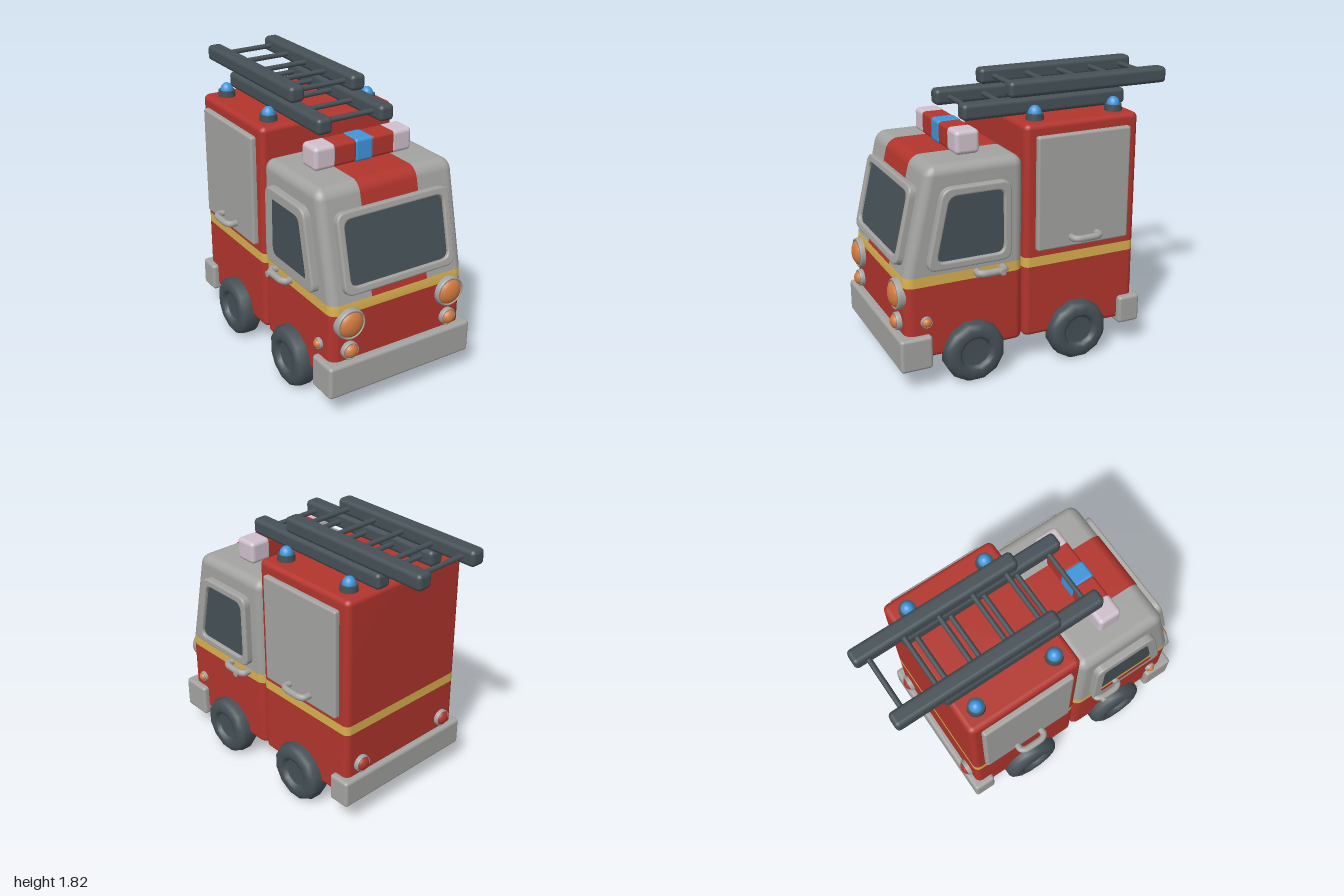
import * as THREE from 'three';
import { RoundedBoxGeometry } from 'three/addons/geometries/RoundedBoxGeometry.js';

const paint = (name, color) => Object.assign(new THREE.MeshStandardMaterial({ color }), { name });

export function createModel() {
  const red = paint('red', 0xb2352d), grey = paint('grey', 0xa3a3a1), yellow = paint('yellow', 0xd8b04e);
  const dark = paint('dark', 0x455056), orange = paint('orange', 0xd27b40);
  const blue = paint('blue', 0x3f95dc), lilac = paint('lilac', 0xcfc0cc);
  const model = new THREE.Group();
  model.name = 'fireEngine';

  const add = (name, geo, mat, x = 0, y = 0, z = 0, parent = model) => {
    const mesh = new THREE.Mesh(geo, mat);
    mesh.name = name;
    mesh.position.set(x, y, z);
    parent.add(mesh);
    return mesh;
  };
  const group = (name, x = 0, y = 0, z = 0) => {
    const g = new THREE.Group();
    g.name = name;
    g.position.set(x, y, z);
    model.add(g);
    return g;
  };
  const rbox = (w, h, d, r) => new RoundedBoxGeometry(w, h, d, 3, r);

  // Rounded hull stacked from rounded-rectangle rings; bands below, on and above the belt line get groups
  const hull = (name, halfW, zBack, zFront, top, corner, edge, upperMat) => {
    const bottom = 0.2, steps = 5, levels = [];
    for (let i = 0; i <= steps; i++) {
      const a = (i / steps) * Math.PI / 2;
      levels.push([bottom + 0.03 * (1 - Math.sin(a)), 0.03 * (1 - Math.cos(a))]);
    }
    levels.reverse();
    levels.push([0.68, 0], [0.745, 0]);
    for (let i = 0; i <= steps; i++) {
      const a = (i / steps) * Math.PI / 2;
      levels.push([top - edge + edge * Math.sin(a), edge * (1 - Math.cos(a))]);
    }
    const pos = [], index = [], n = 4 * (steps + 1);
    for (const [y, inset] of levels) {
      const w = halfW - inset, z0 = zBack + inset, z1 = zFront(y) - inset, r = Math.max(corner - inset, 0.01);
      for (let q = 0; q < 4; q++) for (let k = 0; k <= steps; k++) {
        const t = (q + k / steps) * Math.PI / 2;
        const cx = q === 0 || q === 3 ? w - r : r - w, cz = q < 2 ? z1 - r : z0 + r;
        pos.push(cx + r * Math.cos(t), y, cz + r * Math.sin(t));
      }
    }
    const last = levels.length - 1, mid = (zBack + zFront(top)) / 2;
    pos.push(0, bottom, mid, 0, top, mid);
    const lowC = (last + 1) * n, topC = lowC + 1;
    for (let i = 0; i < n; i++) index.push(lowC, i, (i + 1) % n);
    const cuts = [];
    for (let j = 0; j < last; j++) {
      if (levels[j][0] === 0.68 || levels[j][0] === 0.745) cuts.push(index.length);
      for (let i = 0; i < n; i++) {
        const a = j * n + i, b = j * n + (i + 1) % n;
        index.push(a, a + n, b, b, a + n, b + n);
      }
    }
    for (let i = 0; i < n; i++) index.push(topC, last * n + (i + 1) % n, last * n + i);
    const geo = new THREE.BufferGeometry();
    geo.setAttribute('position', new THREE.Float32BufferAttribute(pos, 3));
    geo.setIndex(index);
    geo.computeVertexNormals();
    geo.addGroup(0, cuts[0], 0);
    geo.addGroup(cuts[0], cuts[1] - cuts[0], 1);
    geo.addGroup(cuts[1], index.length - cuts[1], 2);
    add(name, geo, [red, yellow, upperMat]);
  };
  const slope = 0.235;
  const cabFront = y => 0.935 - slope * Math.max(0, y - 0.72);
  hull('cab', 0.49, 0.143, cabFront, 1.425, 0.06, 0.065, grey);
  hull('rearBody', 0.49, -0.66, () => 0.137, 1.605, 0.04, 0.035, red);

  // Red stripe running up the nose and over the cab roof
  const path = [];
  for (let i = 0; i <= 6; i++) {
    const a = (i / 6) * Math.PI / 2;
    path.push([1.36 + 0.069 * Math.sin(a), 0.208 - 0.069 * Math.cos(a)]);
  }
  for (let i = 6; i >= 0; i--) {
    const a = (i / 6) * Math.PI / 2, y = 1.36 + 0.065 * Math.sin(a);
    path.push([y + 0.004 * Math.sin(a), cabFront(y) - 0.065 * (1 - Math.cos(a)) + 0.004]);
  }
  path.push([0.745, cabFront(0.745) + 0.004]);
  const stripe = new THREE.PlaneGeometry(0.41, 1, 1, path.length - 1);
  const sp = stripe.attributes.position;
  for (let i = 0; i < sp.count; i++) {
    const [y, z] = path[i >> 1];
    sp.setXYZ(i, sp.getX(i), y, z);
  }
  stripe.computeVertexNormals();
  add('cabStripe', stripe, red);

  // Windows: bevelled frame with recessed glass
  const roundPoly = (pts, r, Type = THREE.Shape) => {
    const s = new Type(), v = pts.map(p => new THREE.Vector2(...p)), n = v.length;
    v.forEach((p, i) => {
      const toward = q => p.clone().add(q.clone().sub(p).setLength(r));
      const a = toward(v[(i + n - 1) % n]), b = toward(v[(i + 1) % n]);
      i ? s.lineTo(a.x, a.y) : s.moveTo(a.x, a.y);
      s.quadraticCurveTo(p.x, p.y, b.x, b.y);
    });
    s.closePath();
    return s;
  };
  const windowPane = (name, outer, inner, depth, parent) => {
    const bevel = 0.012, frame = roundPoly(outer, 0.065);
    frame.holes.push(roundPoly(inner, 0.055, THREE.Path));
    add(name + 'Frame', new THREE.ExtrudeGeometry(frame, {
      depth: depth - bevel, bevelThickness: bevel, bevelSize: bevel, bevelOffset: -bevel, bevelSegments: 3, curveSegments: 6,
    }), grey, 0, 0, 0, parent);
    add(name + 'Glass', new THREE.ShapeGeometry(roundPoly(inner, 0.055), 6), dark, 0, 0, depth * 0.55, parent);
  };
  const rect = (w, h) => [[-w, -h], [w, -h], [w, h], [-w, h]];
  const screen = group('windscreen', 0, 1.04, cabFront(1.04) - 0.003);
  screen.rotation.x = -Math.atan(slope);
  windowPane('windscreen', rect(0.405, 0.252), rect(0.358, 0.203), 0.048, screen);

  // Round lamp facing +z
  const lamp = (name, r, h, mat, x, y, z, turn = 0) => {
    const g = group(name, x, y, z);
    g.rotation.y = turn;
    const profile = [[r, -0.02], [r, h * 0.35], [r * 0.96, h * 0.55], [r * 0.86, h * 0.6], [r * 0.84, 0]];
    const bezel = new THREE.LatheGeometry(profile.map(p => new THREE.Vector2(...p)), 28);
    add(name + 'Bezel', bezel.rotateX(Math.PI / 2), grey, 0, 0, 0, g);
    const dome = new THREE.SphereGeometry(r * 0.87, 24, 8, 0, Math.PI * 2, 0, Math.PI / 2).rotateX(Math.PI / 2);
    add(name + 'Lens', dome, mat, 0, 0, h * 0.3, g).scale.z = h * 0.7 / (r * 0.87);
  };

  // Wheel profile: faceted tyre with a sunken hub, axle along x
  const wheelProfile = [[0, 0.045], [0.09, 0.045], [0.1, 0.05], [0.105, 0.07], [0.125, 0.076], [0.16, 0.076],
    [0.19, 0.06], [0.203, 0.035], [0.203, -0.035], [0.19, -0.06], [0.16, -0.076], [0, -0.076]];
  const wheelGeo = new THREE.LatheGeometry(wheelProfile.reverse().map(p => new THREE.Vector2(...p)), 12);
  wheelGeo.rotateY(Math.PI / 12).rotateZ(-Math.PI / 2);

  // Grab handle: tube with bent ends
  const handle = (name, s, x, y, z0, z1, out, r) => {
    const pts = [[x, z0], [x + out * 0.7, z0], [x + out, z0 - 0.035], [x + out, z1 + 0.035], [x + out * 0.7, z1], [x, z1]];
    const curve = new THREE.CatmullRomCurve3(pts.map(([px, pz]) => new THREE.Vector3(s * px, y, pz)), false, 'catmullrom', 0.3);
    add(name, new THREE.TubeGeometry(curve, 32, r, 10), grey);
  };

  for (const s of [1, -1]) {
    const side = s > 0 ? 'left' : 'right';
    // Door window
    const door = group(side + 'DoorWindow', s * 0.485, 0, 0);
    door.rotation.y = s * Math.PI / 2;
    const zy = pts => pts.map(([z, y]) => [-s * z, y]);
    windowPane(side + 'Door', zy([[0.805, 0.785], [0.245, 0.785], [0.245, 1.295], [0.69, 1.295]]),
      zy([[0.74, 0.835], [0.293, 0.835], [0.293, 1.243], [0.648, 1.243]]), 0.053, door);
    // Locker shutter and handles
    add(side + 'Shutter', rbox(0.07, 0.74, 0.65, 0.015), grey, s * 0.49, 1.16, -0.262);
    handle(side + 'ShutterHandle', s, 0.515, 0.857, -0.172, -0.355, 0.068, 0.022);
    handle(side + 'DoorHandle', s, 0.485, 0.722, 0.467, 0.293, 0.06, 0.023);
    const knob = new THREE.CylinderGeometry(0.02, 0.02, 0.05, 14).rotateZ(Math.PI / 2);
    add(side + 'DoorLock', knob, grey, s * 0.555, 0.722, 0.325);
    // Lamps
    lamp(side + 'Headlight', 0.1, 0.07, orange, s * 0.37, 0.617, 0.93);
    lamp(side + 'FogLight', 0.057, 0.065, orange, s * 0.37, 0.435, 0.93);
    lamp(side + 'SideMarker', 0.036, 0.045, orange, s * 0.487, 0.45, 0.805, s * Math.PI / 2);
    lamp(side + 'TailLight', 0.057, 0.055, red, s * 0.37, 0.435, -0.657, Math.PI);
    // Wheels
    for (const [end, z] of [['Front', 0.5], ['Rear', -0.23]]) {
      const wheel = add(side + end + 'Wheel', wheelGeo, dark, s * 0.493, 0.2, z);
      if (s < 0) wheel.rotation.y = Math.PI;
    }
    // Roof beacons
    for (const z of [0.015, -0.54]) {
      add(side + 'BeaconBase', new THREE.CylinderGeometry(0.054, 0.058, 0.05, 20), dark, s * 0.37, 1.62, z);
      const dome = new THREE.SphereGeometry(0.043, 20, 8, 0, Math.PI * 2, 0, Math.PI / 2);
      add(side + 'Beacon', dome, blue, s * 0.37, 1.64, z).scale.y = 1.25;
    }
    // Light bar ends
    add(side + 'LightBarEnd', rbox(0.155, 0.15, 0.16, 0.028), lilac, s * 0.275, 1.503, 0.453);
    add(side + 'LightBarRed', rbox(0.2, 0.144, 0.154, 0.022), red, s * 0.15, 1.503, 0.453);
  }
  add('lightBarCentre', rbox(0.135, 0.15, 0.16, 0.022), blue, 0, 1.503, 0.453);

  // Bumpers
  add('frontBumper', rbox(1.06, 0.22, 0.21, 0.022), grey, 0, 0.255, 0.88);
  add('rearBumper', rbox(1.06, 0.19, 0.155, 0.022), grey, 0, 0.265, -0.622);

  // Two-stage ladder
  const ladder = (name, y, z0, z1, firstRung) => {
    const g = group(name, 0, y, 0);
    for (const s of [1, -1]) add('ladderRail', rbox(0.106, 0.105, z0 - z1, 0.028), dark, s * 0.225, 0, (z0 + z1) / 2, g);
    for (let i = 0; i < 5; i++) {
      const rung = new THREE.CylinderGeometry(0.017, 0.017, 0.4, 10).rotateZ(Math.PI / 2);
      add('ladderRung', rung, dark, 0, 0, firstRung - i * 0.238, g);
    }
  };
  ladder('lowerLadder', 1.663, 0.45, -0.685, 0.357);
  ladder('upperLadder', 1.772, 0.135, -1, 0.042);

  return model;
}
